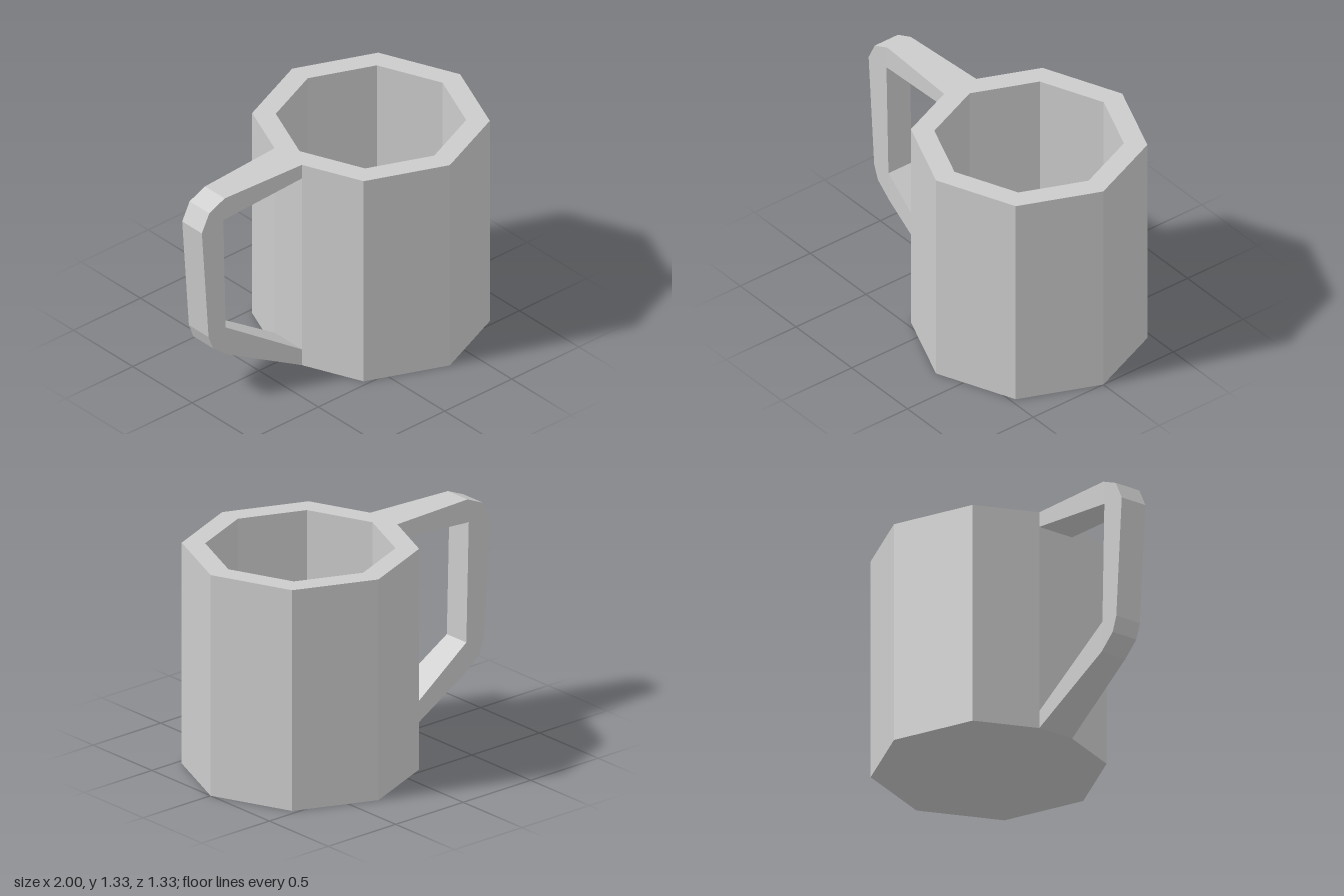
import * as THREE from 'three';

// Skin a list of equal-length closed rings with flat-shaded faces.
function loft(name, rings, material) {
  const pos = [];
  const tri = new THREE.Triangle();
  const add = (a, b, c) => {
    tri.set(a, b, c);
    if (tri.getArea() > 1e-7) for (const p of [a, b, c]) pos.push(p.x, p.y, p.z);
  };
  for (let k = 0; k < rings.length - 1; k++) {
    const lower = rings[k], upper = rings[k + 1], n = lower.length;
    for (let i = 0; i < n; i++) {
      const j = (i + 1) % n;
      add(lower[i], upper[i], upper[j]);
      add(lower[i], upper[j], lower[j]);
    }
  }
  const geometry = new THREE.BufferGeometry();
  geometry.setAttribute('position', new THREE.Float32BufferAttribute(pos, 3));
  geometry.computeVertexNormals();
  const mesh = new THREE.Mesh(geometry, material);
  mesh.name = name;
  return mesh;
}

export function createModel() {
  const group = new THREE.Group();
  group.name = 'mug';
  const material = new THREE.MeshStandardMaterial({ color: 0xcccccc, flatShading: true });

  const centreX = 0.335, height = 1.33, floorY = 0.13;
  const joinX = -0.283, joinHalf = 0.115;

  // Octagon ring; its corner at the handle is either cut flat or doubled up.
  const octagon = (radius, y, cut) => {
    const ring = [];
    for (let i = 0; i < 8; i++) {
      const a = i * Math.PI / 4;
      const x = centreX + radius * Math.cos(a), z = radius * Math.sin(a);
      if (i !== 4) ring.push(new THREE.Vector3(x, y, z));
      else for (const s of [1, -1]) {
        ring.push(new THREE.Vector3(cut ? joinX : x, y, cut ? s * joinHalf : 0));
      }
    }
    return ring;
  };

  // Cup: underside, outer wall, rim, inner wall and floor
  group.add(loft('cup', [
    octagon(0, 0, false),
    octagon(0.665, 0, true),
    octagon(0.665, height, true),
    octagon(0.533, height, false),
    octagon(0.533, floorY, false),
    octagon(0, floorY, false),
  ], material));

  // Handle sections: outer x, outer y, inner x, inner y, half width
  const sections = [
    [joinX, height, joinX, 1.24, joinHalf],
    [-0.83, 1.325, -0.84, 1.185, 0.083],
    [-0.945, 1.275, -0.84, 1.185, 0.083],
    [-1, 1.165, -0.84, 1.185, 0.083],
    [-0.95, 0.455, -0.822, 0.465, 0.083],
    [-0.917, 0.367, -0.822, 0.465, 0.083],
    [-0.815, 0.283, -0.822, 0.465, 0.083],
    [joinX, 0, joinX, 0.105, joinHalf],
  ];
  group.add(loft('handle', sections.map(([ox, oy, ix, iy, w]) => [
    new THREE.Vector3(ox, oy, -w),
    new THREE.Vector3(ox, oy, w),
    new THREE.Vector3(ix, iy, w),
    new THREE.Vector3(ix, iy, -w),
  ]), material));

  return group;
}
